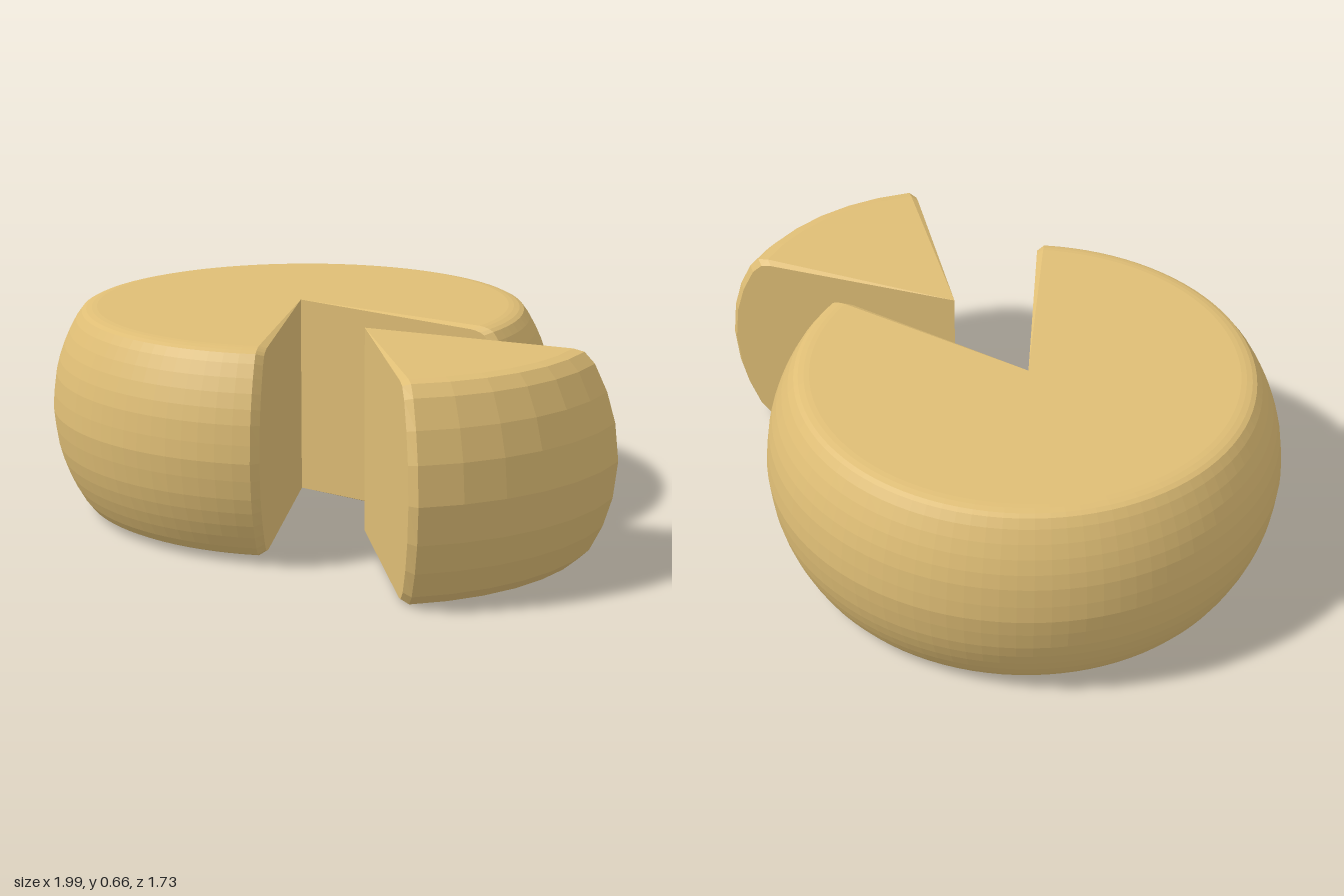
import * as THREE from 'three';

// Upper half of the bulging rind: [radius, height as a fraction of the half height]
const RIND = [[0.82, 0], [0.81, 0.3], [0.79, 0.54], [0.76, 0.76], [0.725, 0.94], [0.7, 0.985], [0.67, 1]];

// Full rind profile from bottom to top, with `rows` bands per half of the main bulge
function rindProfile(rows) {
  const curve = new THREE.SplineCurve(RIND.map(([r, h]) => new THREE.Vector2(r, h)));
  const upper = curve.getPoints(rows).map(p => [p.x, Math.min(p.y, 1)]);
  return [...upper.slice(1).reverse().map(([r, h]) => [r, -h]), ...upper];
}

// A closed sector of a bulging wheel, swept around a vertical tip edge
function sector({ tip, centre, from, to, bottom, top, segments, rows }) {
  const profile = rindProfile(rows), last = profile.length - 1;
  const mid = (bottom + top) / 2, half = (top - bottom) / 2, bevel = 0.03;
  const dx = tip[0] - centre[0], dz = tip[1] - centre[1];
  const pos = [];
  const tri = (a, b, c) => pos.push(...a, ...b, ...c);
  const quad = (a, b, c, d) => { tri(a, b, c); tri(a, c, d); };

  // Section at an angle; end sections are inset to soften the cut edges
  const section = (angle, inset) => profile.map(([r, h]) => {
    const c = Math.cos(angle), s = Math.sin(angle), radius = r - inset;
    const b = dx * c + dz * s;
    const t = -b + Math.sqrt(b * b - dx * dx - dz * dz + radius * radius);
    return [tip[0] + t * c, mid + h * (half - inset * 0.5), tip[1] + t * s];
  });
  const sections = [section(from, 0.02)];
  for (let i = 0; i <= segments; i++) {
    sections.push(section(from + bevel + (to - from - 2 * bevel) * i / segments, 0));
  }
  sections.push(section(to, 0.02));

  // Rind, top and bottom
  const low = [tip[0], bottom, tip[1]], high = [tip[0], top, tip[1]];
  for (let i = 0; i < sections.length - 1; i++) {
    const a = sections[i], b = sections[i + 1];
    for (let j = 0; j < last; j++) quad(a[j], a[j + 1], b[j + 1], b[j]);
    tri(high, b[last], a[last]);
    tri(low, a[0], b[0]);
  }

  // Flat cut walls
  const start = sections[0], end = sections[sections.length - 1];
  const edge = (s, j) => j === 0 ? low : j === last ? high : [tip[0], s[j][1], tip[1]];
  for (let j = 0; j < last; j++) {
    quad(edge(start, j), edge(start, j + 1), start[j + 1], start[j]);
    quad(edge(end, j), end[j], end[j + 1], edge(end, j + 1));
  }

  const geometry = new THREE.BufferGeometry();
  geometry.setAttribute('position', new THREE.Float32BufferAttribute(pos, 3));
  geometry.computeVertexNormals(); // unshared corners give flat facets
  return geometry;
}

export function createModel() {
  const group = new THREE.Group();
  group.name = 'cheese';
  const cheese = new THREE.MeshStandardMaterial({ color: 0xdebd75 });
  cheese.name = 'cheese yellow';
  const rad = THREE.MathUtils.degToRad;
  const add = (name, options) => {
    const mesh = new THREE.Mesh(sector(options), cheese);
    mesh.name = name;
    group.add(mesh);
  };

  // Wheel with a slice missing
  add('cheeseWheel', {
    tip: [-0.2, -0.07], centre: [-0.18, -0.05], from: rad(70.2), to: rad(370.4),
    bottom: 0.015, top: 0.66, segments: 80, rows: 10,
  });

  // Slice pulled out of the wheel
  add('cheeseSlice', {
    tip: [0.17, 0.2], centre: [0.175, 0.2], from: rad(-3.7), to: rad(54.8),
    bottom: 0, top: 0.655, segments: 6, rows: 5,
  });
  return group;
}
